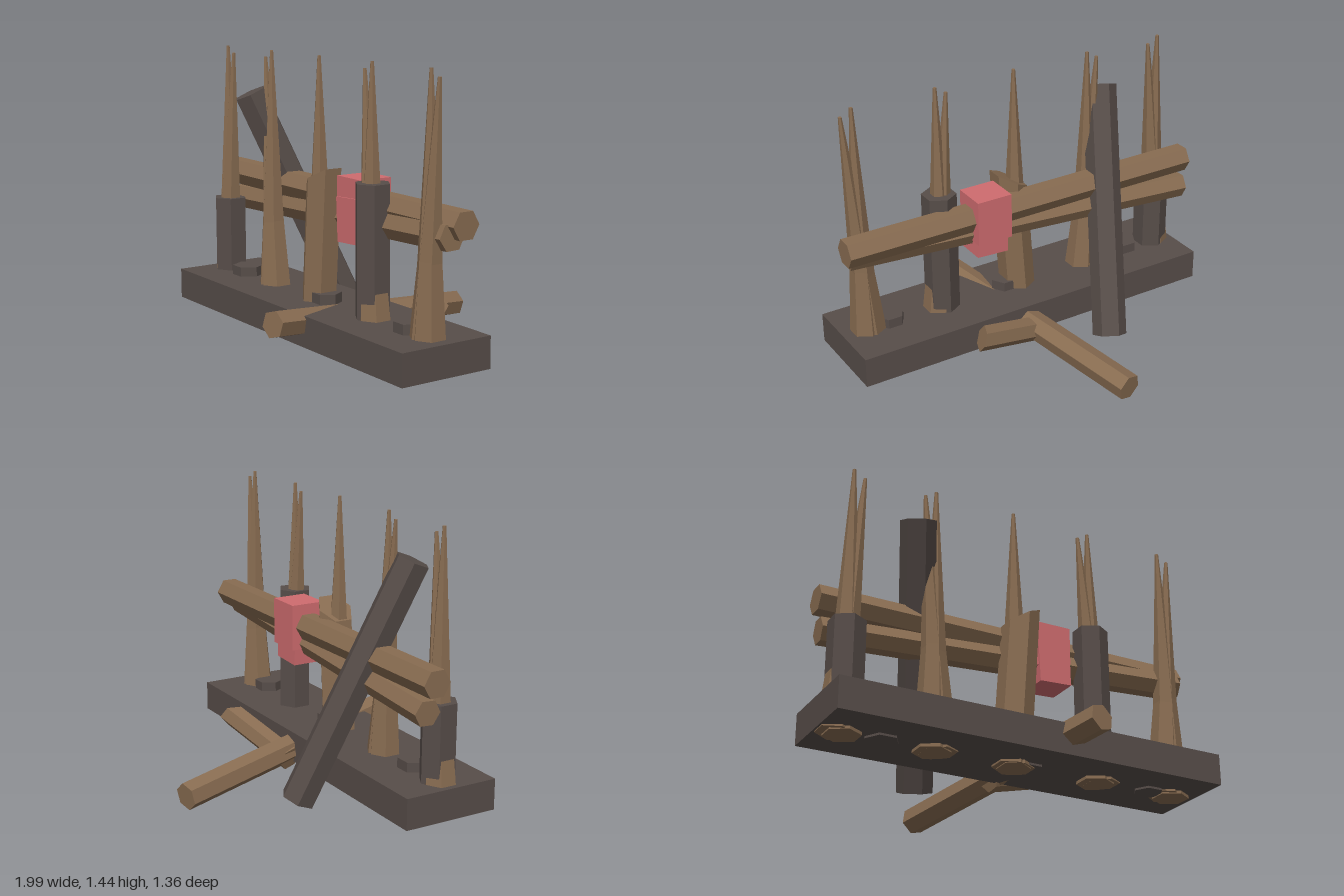
import * as THREE from 'three';

export function createModel() {
  const group = new THREE.Group();
  const paint = (name, color) => {
    const m = new THREE.MeshStandardMaterial({ color });
    m.name = name;
    return m;
  };
  const wood = paint('brown wood', 0x886c51);
  const dark = paint('dark timber', 0x574d49);
  const cloth = paint('red binding', 0xcf6c6f);

  function add(name, geometry, material) {
    const flat = geometry.index ? geometry.toNonIndexed() : geometry;
    flat.computeVertexNormals();
    const mesh = new THREE.Mesh(flat, material);
    mesh.name = name;
    group.add(mesh);
    return mesh;
  }

  // Six-sided timber from point a to point b; cut(x, z) shifts the end at b along its axis
  function timber(name, a, b, rA, rB, material, cut) {
    const start = new THREE.Vector3(...a);
    const end = new THREE.Vector3(...b);
    const dir = end.clone().sub(start);
    const length = dir.length();
    const g = new THREE.CylinderGeometry(rB, rA, length, 6);
    if (cut) {
      const p = g.attributes.position;
      for (let i = 0; i < p.count; i++) {
        if (p.getY(i) > 0) p.setY(i, p.getY(i) + cut(p.getX(i), p.getZ(i)));
      }
    }
    const mesh = add(name, g, material);
    mesh.position.copy(start).add(end).multiplyScalar(0.5);
    mesh.quaternion.setFromUnitVectors(new THREE.Vector3(0, 1, 0), dir.normalize());
    return mesh;
  }

  function box(name, size, pos, material, tilt = 0) {
    const mesh = add(name, new THREE.BoxGeometry(...size), material);
    mesh.position.set(...pos);
    mesh.rotation.z = tilt;
  }

  // Base plank
  box('base', [1.99, 0.155, 0.495], [0.003, 0.163, 0.247], dark);

  // Stakes, most with a second splinter leaning to one side
  const stakes = [[-0.87, 1], [-0.433, -1], [0, 0], [0.436, -1], [0.872, 1]];
  for (const [x, side] of stakes) {
    timber('stake', [x, 0.07, 0.25], [x, 1.44, 0.25], 0.09, 0.009, wood);
    if (side) {
      timber('splinter', [x - side * 0.035, 0.075, 0.25], [x + side * 0.058, 1.405, 0.25], 0.09, 0.009, wood);
    }
  }

  // Sleeves around stakes
  timber('shortSleeve', [-0.87, 0.09, 0.25], [-0.87, 0.63, 0.25], 0.09, 0.09, dark);
  timber('tallSleeve', [0.437, 0.09, 0.247], [0.437, 0.88, 0.247], 0.088, 0.088, dark);
  timber('brokenSleeve', [-0.022, 0.07, 0.25], [0.036, 0.86, 0.25], 0.092, 0.092, wood, (x) => x * 0.65);

  // Stumps set into the base
  for (const x of [-0.682, 0.065, 0.735]) {
    const r = x < -0.5 ? 0.083 : 0.075;
    const stump = timber('stump', [x, 0.075, 0.255], [x, 0.29, 0.255], r, r, dark);
    stump.rotation.y = Math.PI / 6;
  }

  // Rails and their bindings
  timber('upperRail', [-0.99, 0.756, 0.15], [1, 0.756, 0.15], 0.073, 0.073, wood);
  timber('lowerRail', [-0.96, 0.615, 0.122], [0.965, 0.705, 0.2], 0.068, 0.068, wood);
  box('upperBinding', [0.19, 0.235, 0.18], [0.228, 0.757, 0.148], cloth);
  box('lowerBinding', [0.172, 0.22, 0.17], [0.228, 0.668, 0.162], cloth, 0.05);

  // Leaning brace
  timber('brace', [-0.315, 0.033, -0.175], [-0.553, 1.218, 0.308], 0.088, 0.088, dark);

  // Log driven through the base, with a broken branch
  timber('log', [-0.09, 0.069, -0.667], [0.22, 0.222, 0.662], 0.069, 0.069, wood);
  timber('branch', [0.01, 0.11, -0.03], [0.425, 0.237, -0.13], 0.063, 0.063, wood, (x, z) => -z * 0.6);

  return group;
}
